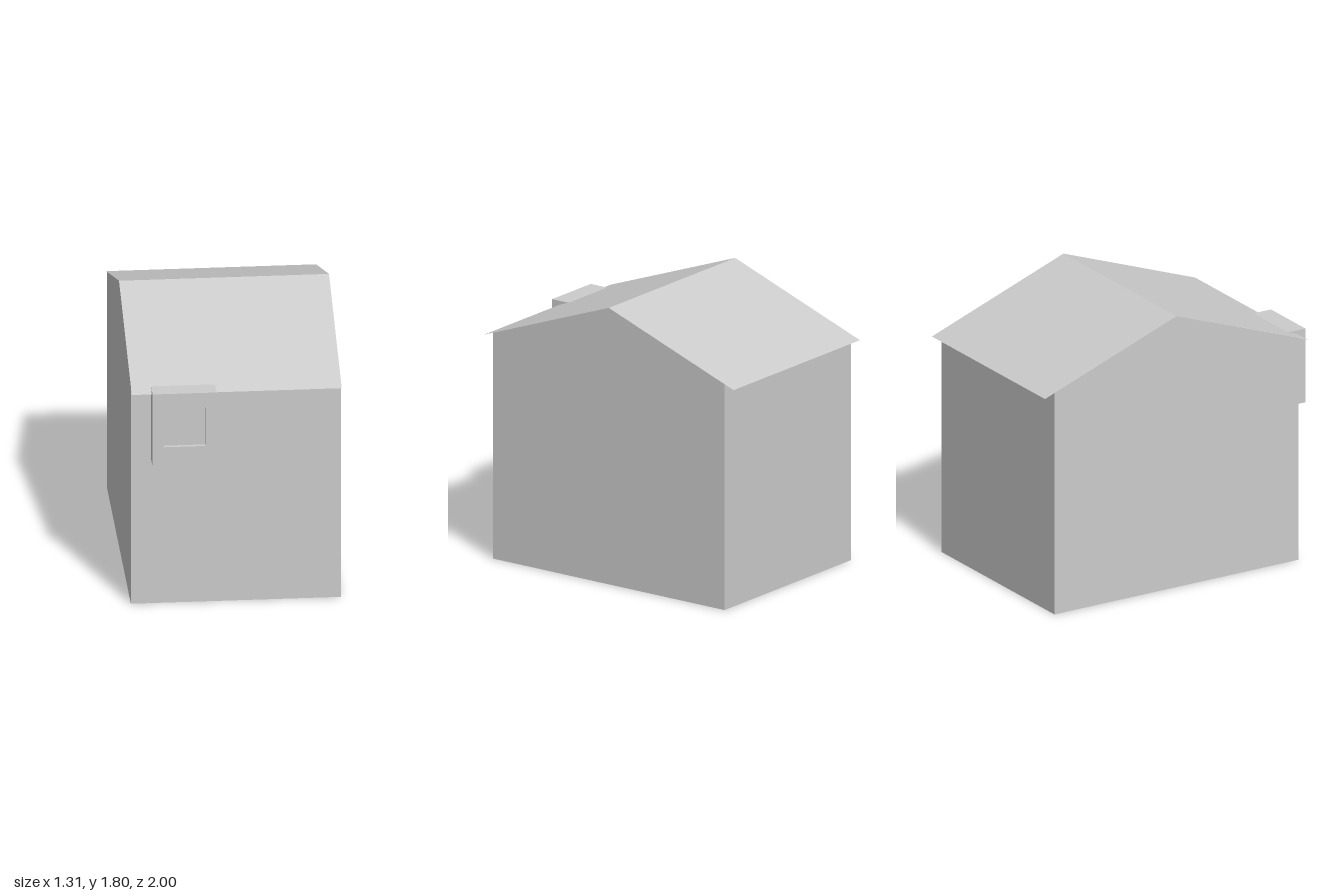
import * as THREE from 'three';

const W = 1.31;                    // width along x
const FRONT = 0.87, BACK = -0.93;  // wall planes
const RIDGE_Z = -0.03, RIDGE_Y = 1.8, EAVE_Y = 1.47;
const ROOF_Y = 1.445, ROOF_RUN = 0.97; // overhanging roof edge

const material = new THREE.MeshStandardMaterial({ color: 0xcccccc, side: THREE.DoubleSide, flatShading: true });

function add(group, name, geometry, x = 0, y = 0, z = 0) {
  const mesh = new THREE.Mesh(geometry, material);
  mesh.name = name;
  mesh.position.set(x, y, z);
  group.add(mesh);
  return mesh;
}

function rectangle(Type, x0, y0, x1, y1) {
  return new Type([[x0, y0], [x1, y0], [x1, y1], [x0, y1]].map(p => new THREE.Vector2(...p)));
}

export function createModel() {
  const house = new THREE.Group();
  house.name = 'house';

  // Thin front and back walls, open underneath
  add(house, 'frontWall', new THREE.PlaneGeometry(W, EAVE_Y), 0, EAVE_Y / 2, FRONT);
  add(house, 'backWall', new THREE.PlaneGeometry(W, EAVE_Y), 0, EAVE_Y / 2, BACK).rotation.y = Math.PI;

  // Gable walls, drawn in (-z, y) and turned to face sideways
  const gable = new THREE.Shape([
    [-FRONT, 0], [-BACK, 0], [-BACK, EAVE_Y], [-RIDGE_Z, RIDGE_Y], [-FRONT, EAVE_Y],
  ].map(p => new THREE.Vector2(...p)));
  for (const [name, side] of [['leftGableWall', 1], ['rightGableWall', -1]]) {
    const geometry = new THREE.ShapeGeometry(gable).rotateY(Math.PI / 2);
    if (side < 0) geometry.index.array.reverse(); // outward winding
    geometry.computeVertexNormals();
    add(house, name, geometry, side * W / 2);
  }

  // Two thin roof slopes that overhang the front and back walls
  const drop = RIDGE_Y - ROOF_Y;
  const length = Math.hypot(ROOF_RUN, drop);
  for (const [name, side] of [['frontRoofSlope', 1], ['backRoofSlope', -1]]) {
    const slope = new THREE.PlaneGeometry(W, length)
      .rotateX(-Math.PI / 2)
      .rotateX(side * Math.atan2(drop, ROOF_RUN));
    add(house, name, slope, 0, (RIDGE_Y + ROOF_Y) / 2, RIDGE_Z + side * ROOF_RUN / 2);
  }

  // Projecting window frame with a shallow recessed pane
  const frame = rectangle(THREE.Shape, -0.53, 0.98, -0.13, 1.47);
  frame.holes.push(rectangle(THREE.Path, -0.46, 1.11, -0.2, 1.37));
  add(house, 'windowFrame', new THREE.ExtrudeGeometry(frame, { depth: 1 - FRONT, bevelEnabled: false }), 0, 0, FRONT);
  add(house, 'windowPane', new THREE.PlaneGeometry(0.26, 0.26), -0.33, 1.24, 0.975);

  // Small panel on the inner face of the front wall
  add(house, 'innerPanel', new THREE.BoxGeometry(0.19, 0.44, 0.07), -0.355, 0.62, FRONT - 0.035);

  return house;
}
